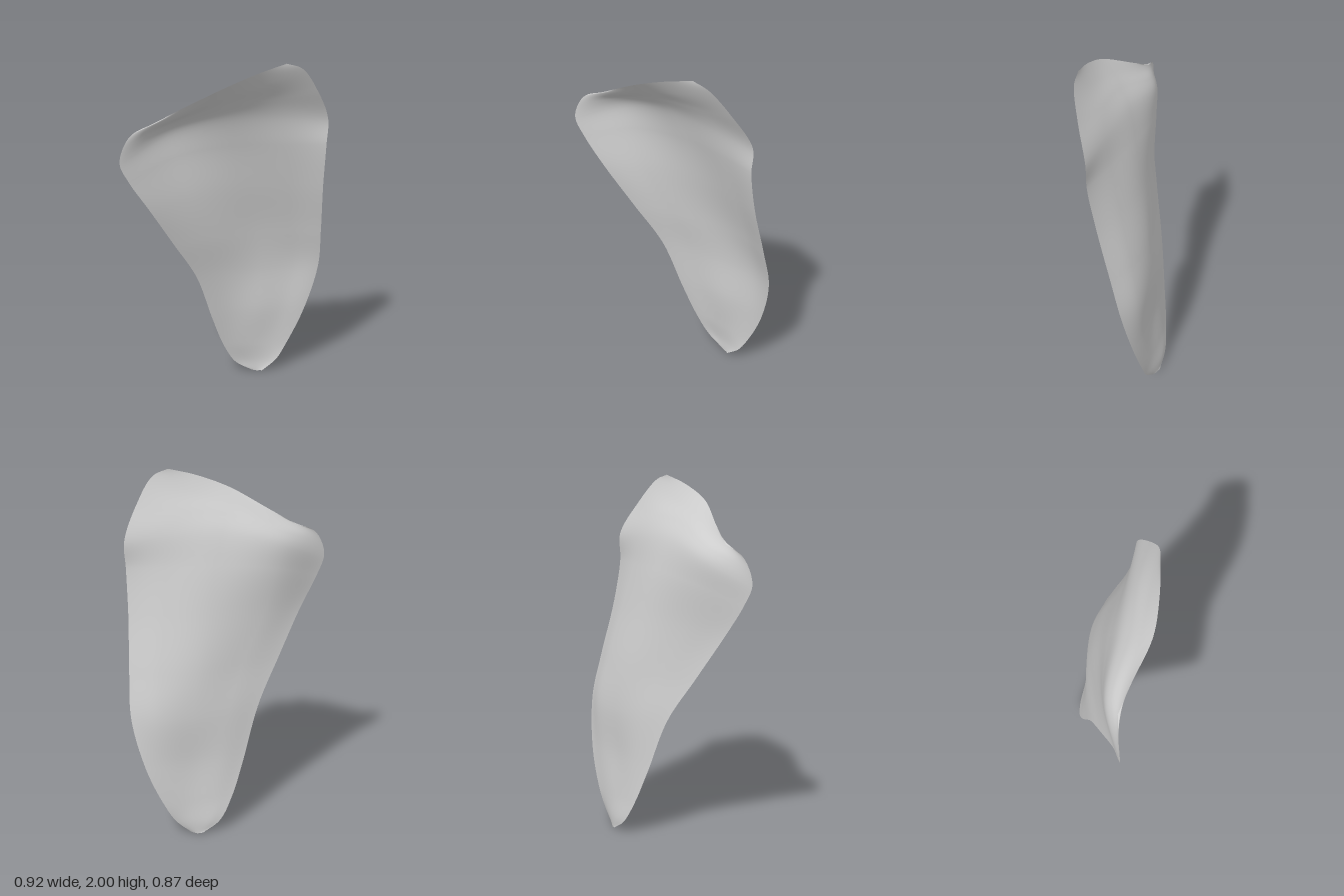
import * as THREE from 'three';
import { ParametricGeometry } from 'three/addons/geometries/ParametricGeometry.js';

// Lengthwise guides from the foot to the curled top, left edge to right edge
const LEFT_EDGE = [
  [0.0, 0.005, -0.3], [-0.08, 0.07, -0.243], [-0.13, 0.2, -0.18], [-0.17, 0.4, -0.105],
  [-0.22, 0.7, 0.0], [-0.29, 0.95, 0.15], [-0.365, 1.2, 0.3], [-0.43, 1.37, 0.39],
  [-0.46, 1.48, 0.43], [-0.445, 1.57, 0.413], [-0.41, 1.635, 0.375], [-0.33, 1.68, 0.3],
];
const LEFT_FOLD = [
  [0.015, 0.002, -0.305], [-0.03, 0.07, -0.28], [-0.06, 0.2, -0.235], [-0.08, 0.41, -0.19],
  [-0.1, 0.7, -0.14], [-0.14, 0.95, -0.04], [-0.22, 1.22, 0.09], [-0.27, 1.46, 0.145],
  [-0.295, 1.6, 0.185], [-0.28, 1.655, 0.215], [-0.25, 1.695, 0.25], [-0.18, 1.765, 0.26],
];
const MIDDLE = [
  [0.03, 0.0, -0.31], [0.03, 0.07, -0.312], [0.03, 0.2, -0.295], [0.05, 0.42, -0.28],
  [0.06, 0.7, -0.285], [0.05, 0.95, -0.235], [0.03, 1.23, -0.145], [0.01, 1.5, -0.06],
  [0.0, 1.68, 0.015], [0.0, 1.76, 0.085], [0.01, 1.82, 0.15], [0.03, 1.88, 0.21],
];
const RIGHT_FOLD = [
  [0.045, 0.002, -0.313], [0.085, 0.075, -0.335], [0.11, 0.19, -0.345], [0.17, 0.41, -0.37],
  [0.22, 0.7, -0.39], [0.23, 0.95, -0.335], [0.24, 1.24, -0.25], [0.25, 1.5, -0.18],
  [0.25, 1.68, -0.135], [0.23, 1.79, -0.06], [0.2, 1.88, 0.04], [0.19, 1.955, 0.11],
];
const RIGHT_EDGE = [
  [0.065, 0.005, -0.315], [0.14, 0.08, -0.355], [0.19, 0.18, -0.39], [0.28, 0.4, -0.43],
  [0.365, 0.7, -0.43], [0.395, 0.95, -0.375], [0.425, 1.25, -0.3], [0.45, 1.5, -0.26],
  [0.455, 1.65, -0.26], [0.425, 1.83, -0.155], [0.375, 1.965, -0.05], [0.31, 1.998, 0.01],
];

// Smooth curve through a list of points
const smooth = (points) => new THREE.CatmullRomCurve3(points, false, 'centripetal');

export function createModel() {
  const group = new THREE.Group();
  group.name = 'petal';

  const grey = new THREE.MeshStandardMaterial({ color: 0xcccccc, side: THREE.DoubleSide });
  grey.name = 'light grey';

  const guides = [LEFT_EDGE, LEFT_FOLD, MIDDLE, RIGHT_FOLD, RIGHT_EDGE].map(
    (points) => smooth(points.map((p) => new THREE.Vector3(...p)))
  );

  // Each cross-section is a smooth curve across the guides
  const surface = (u, v, target) => {
    smooth(guides.map((guide) => guide.getPoint(v))).getPoint(u, target);
  };

  const sheet = new THREE.Mesh(new ParametricGeometry(surface, 32, 80), grey);
  sheet.name = 'curledSheet';
  group.add(sheet);
  return group;
}
